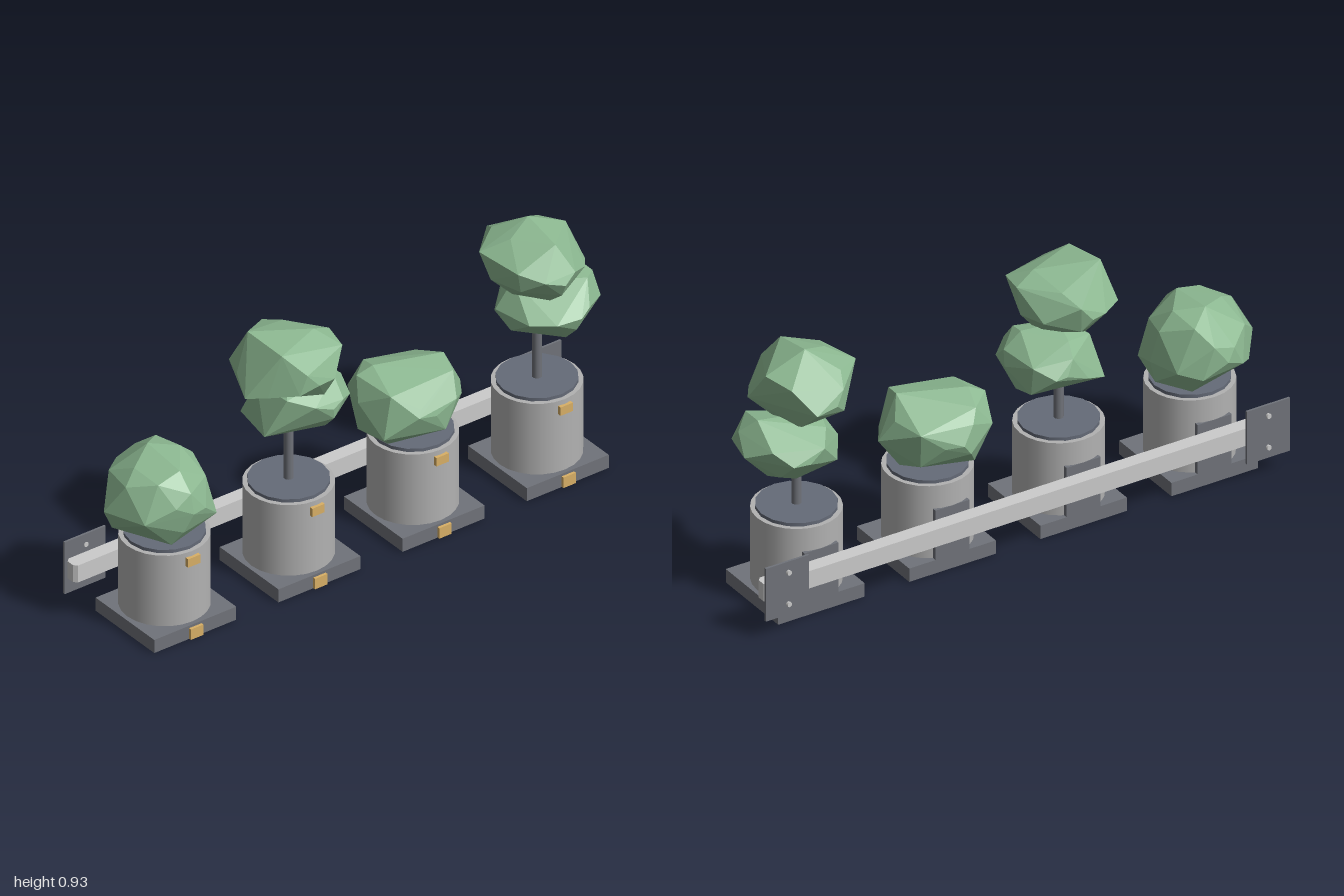
import * as THREE from 'three';
import { ConvexGeometry } from 'three/addons/geometries/ConvexGeometry.js';

const mat = (color, flatShading = false) => {
  const m = new THREE.MeshStandardMaterial({ color });
  m.flatShading = flatShading;
  return m;
};
const leaf = mat(0x8cb891, true);
const pale = mat(0xcccccc);
const stone = mat(0xb2b2b2);
const dark = mat(0x70737a);
const soilMat = mat(0x656b78);
const brass = mat(0xd9b066);

function add(parent, name, geometry, material, x, y, z) {
  const mesh = new THREE.Mesh(geometry, material);
  mesh.name = name;
  mesh.position.set(x, y, z);
  parent.add(mesh);
  return mesh;
}
const box = (w, h, d) => new THREE.BoxGeometry(w, h, d);

// Small seeded generator giving values in -1..1
function seeded(seed) {
  let s = seed;
  return () => {
    s = (s * 16807) % 2147483647;
    return (s / 2147483647) * 2 - 1;
  };
}

// Faceted crown: front outline repeated as shrinking, jittered rings along z
function crown(outline, zBack, zFront, seed) {
  const rnd = seeded(seed);
  const cx = outline.reduce((s, p) => s + p[0], 0) / outline.length;
  const cy = outline.reduce((s, p) => s + p[1], 0) / outline.length;
  const cz = (zBack + zFront) / 2, hz = (zFront - zBack) / 2;
  const points = [];
  const put = ([x, y], scale, t) =>
    points.push(new THREE.Vector3(cx + (x - cx) * scale, cy + (y - cy) * scale, cz + hz * t));
  outline.forEach((p, i) => {
    put(p, 1, rnd() * 0.3);
    for (const side of [-1, 1]) {
      if ((i + (side > 0 ? 1 : 0)) % 2) put(p, 0.82 + rnd() * 0.08, side * (0.62 + rnd() * 0.1));
      if (i % 3 === (side > 0 ? 0 : 1)) put(p, 0.4 + rnd() * 0.12, side * (0.93 + rnd() * 0.07));
    }
  });
  put([cx, cy], 1, -1);
  put([cx, cy], 1, 1);
  return new ConvexGeometry(points);
}

// Each planter: position, stem flag and crowns [front outline, back z, front z]
const planters = [
  { x: -0.75, crowns: [
    [[[-.76, .62], [-.67, .605], [-.61, .55], [-.585, .44], [-.59, .375], [-.67, .33],
      [-.82, .33], [-.935, .385], [-.965, .455], [-.92, .56], [-.86, .595]], -0.2, 0.19]] },
  { x: -0.25, stem: true, crowns: [
    [[[-.375, .91], [-.175, .89], [-.1, .855], [-.1, .765], [-.18, .67], [-.3, .66],
      [-.455, .73], [-.43, .78]], -0.17, 0.2],
    [[[-.31, .67], [-.22, .72], [-.1, .705], [-.04, .65], [-.03, .6], [-.05, .53],
      [-.14, .5], [-.35, .525]], -0.19, 0.13]] },
  { x: 0.25, crowns: [
    [[[.07, .565], [.125, .59], [.35, .595], [.39, .53], [.43, .45], [.375, .365],
      [.305, .33], [.125, .33], [.045, .39], [.045, .49]], -0.17, 0.175]] },
  { x: 0.75, stem: true, crowns: [
    [[[.565, .845], [.65, .89], [.745, .925], [.885, .86], [.905, .75], [.82, .67],
      [.73, .66], [.635, .7], [.575, .76]], -0.19, 0.205],
    [[[.64, .59], [.7, .69], [.92, .71], [.965, .66], [.985, .6], [.905, .515],
      [.8, .475], [.66, .53]], -0.185, 0.16]] },
];

export function createModel() {
  const model = new THREE.Group();
  model.name = 'planterBarrier';
  const potZ = 0.015;

  planters.forEach(({ x, stem, crowns }, i) => {
    const g = new THREE.Group();
    g.name = 'planter' + (i + 1);
    model.add(g);
    // Base slab, pot and soil
    add(g, 'baseSlab', box(0.33, 0.05, 0.315), dark, x, 0.025, 0.0225);
    add(g, 'pot', new THREE.CylinderGeometry(0.15, 0.15, 0.27, 24), stone, x, 0.185, potZ);
    add(g, 'soil', new THREE.CylinderGeometry(0.135, 0.135, 0.014, 16), soilMat, x, 0.325, potZ);
    // Mounting bracket behind the pot
    add(g, 'bracket', box(0.13, 0.185, 0.03), dark, x, 0.1425, -0.12);
    // Front reflectors
    add(g, 'potReflector', box(0.05, 0.032, 0.014), brass, x, 0.286, 0.168);
    add(g, 'baseReflector', box(0.05, 0.04, 0.012), brass, x, 0.021, 0.184);
    // Plant
    if (stem) add(g, 'stem', new THREE.CylinderGeometry(0.017, 0.017, 0.27, 10), dark, x, 0.46, potZ);
    crowns.forEach(([outline, zb, zf], k) =>
      add(g, 'crown', crown(outline, zb, zf, 911 + i * 577 + k * 131), leaf, 0, 0, 0));
  });

  // Rail with bevelled ends, drawn in plan and extruded upward
  const plan = new THREE.Shape();
  [[-0.985, 0.135], [0.985, 0.135], [0.997, 0.147], [0.997, 0.175], [0.985, 0.187],
    [-0.985, 0.187], [-0.997, 0.175], [-0.997, 0.147]]
    .forEach(([x, y], i) => (i ? plan.lineTo(x, y) : plan.moveTo(x, y)));
  const railGeo = new THREE.ExtrudeGeometry(plan, { depth: 0.065, bevelEnabled: false });
  railGeo.rotateX(-Math.PI / 2);
  add(model, 'rail', railGeo, pale, 0, 0.135, 0);

  // End plates with bolts
  for (const side of [-1, 1]) {
    const end = new THREE.Group();
    end.name = side > 0 ? 'leftEndPlate' : 'rightEndPlate';
    model.add(end);
    add(end, 'plate', box(0.165, 0.198, 0.008), dark, side * 0.9175, 0.168, -0.191);
    for (const y of [0.11, 0.228]) {
      const bolt = add(end, 'bolt', new THREE.CylinderGeometry(0.009, 0.009, 0.022, 6), pale,
        side * 0.915, y, -0.194);
      bolt.rotation.x = Math.PI / 2;
    }
  }
  return model;
}
